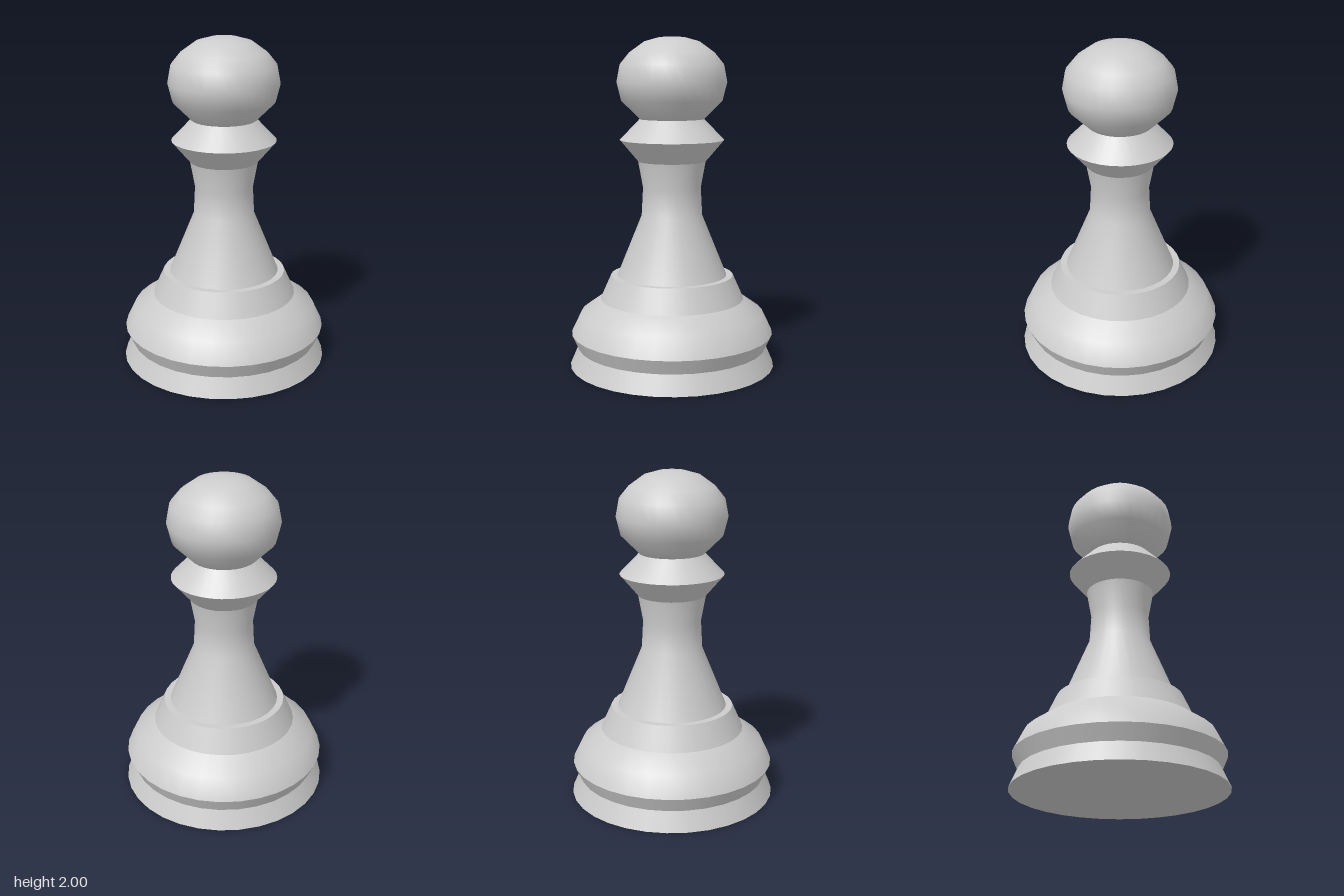
import * as THREE from 'three';

const SIDES = 32;

// Each part is a smooth profile of [radius, height] from bottom to top;
// the seams between parts stay sharp.
const PARTS = {
  underside: [[0, 0], [0.63, 0]],
  foot: [[0.63, 0], [0.58, 0.115]],
  baseGroove: [[0.58, 0.115], [0.62, 0.205]],
  baseDome: [[0.62, 0.205], [0.56, 0.33], [0.44, 0.415]],
  baseStep: [[0.44, 0.415], [0.375, 0.56]],
  baseLedge: [[0.375, 0.56], [0.335, 0.56]],
  stem: [[0.335, 0.56], [0.185, 0.93], [0.176, 1.1], [0.205, 1.26]],
  collarLower: [[0.205, 1.26], [0.315, 1.39]],
  collarUpper: [[0.315, 1.39], [0.195, 1.515]],
  head: [[0.195, 1.515], [0.305, 1.625], [0.332, 1.735], [0.312, 1.84],
    [0.255, 1.91], [0.165, 1.975], [0.075, 2], [0, 2]],
};

export function createModel() {
  const group = new THREE.Group();
  group.name = 'pawn';
  const material = new THREE.MeshStandardMaterial({ color: 0xcccccc });

  for (const [name, profile] of Object.entries(PARTS)) {
    const points = profile.map(([r, y]) => new THREE.Vector2(r, y));
    const mesh = new THREE.Mesh(new THREE.LatheGeometry(points, SIDES), material);
    mesh.name = name;
    group.add(mesh);
  }
  return group;
}
